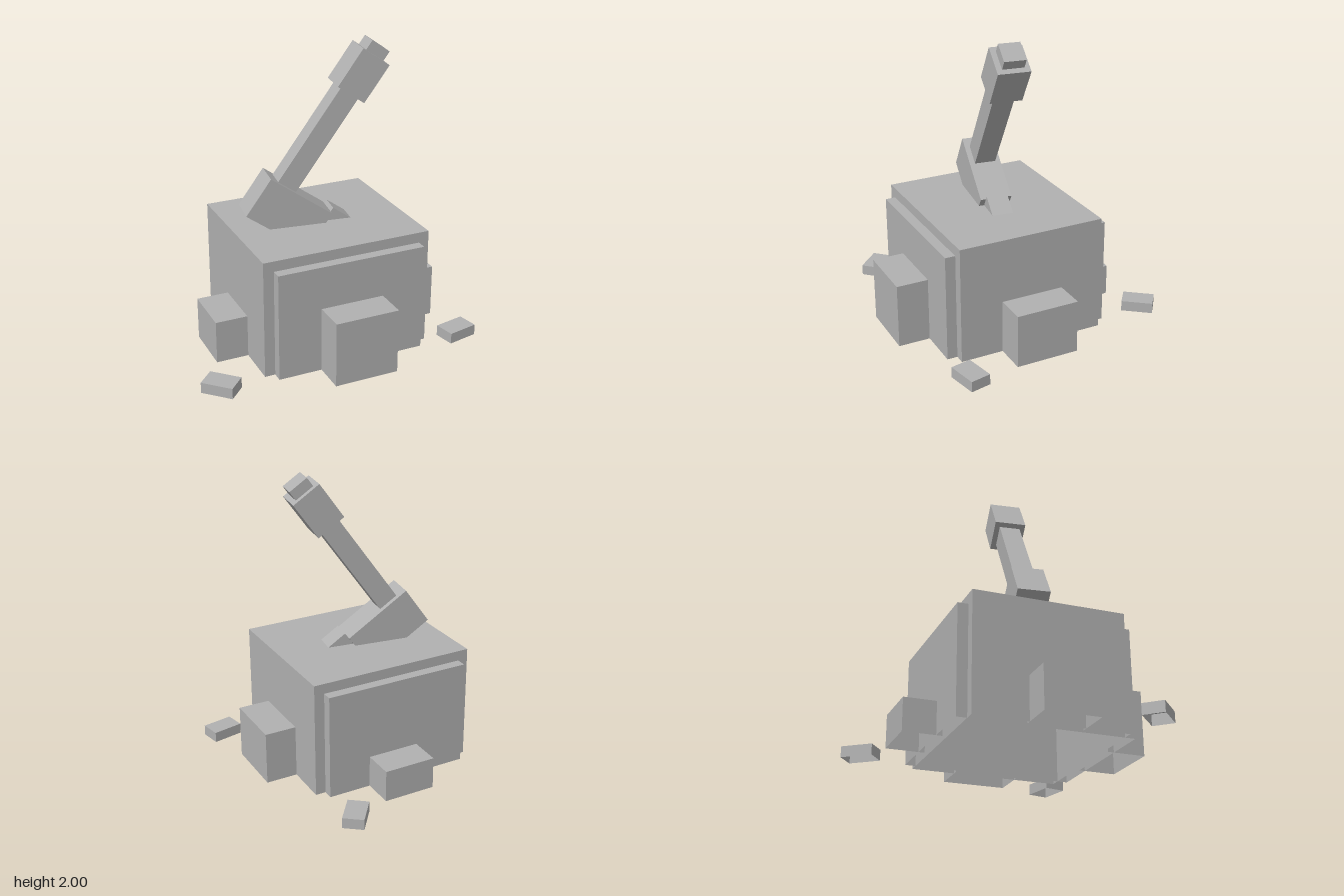
import * as THREE from 'three';

const stone = new THREE.MeshStandardMaterial({ color: 0xb0b0b0, side: THREE.DoubleSide });
stone.name = 'grey';

// Box given by its limits on each axis; openBottom leaves out the underside
function box(name, [x0, x1], [y0, y1], [z0, z1], openBottom = false) {
  const geo = new THREE.BoxGeometry(x1 - x0, y1 - y0, z1 - z0);
  if (openBottom) {
    const index = Array.from(geo.index.array);
    index.splice(18, 6);
    geo.setIndex(index);
    geo.clearGroups();
  }
  geo.translate((x0 + x1) / 2, (y0 + y1) / 2, (z0 + z1) / 2);
  const mesh = new THREE.Mesh(geo, stone);
  mesh.name = name;
  return mesh;
}

export function createModel() {
  const model = new THREE.Group();
  model.name = 'hammerInStone';

  // Boulder: two crossed hollow blocks with a smaller stone against each side
  const boulder = new THREE.Group();
  boulder.name = 'boulder';
  boulder.position.set(-0.035, 0, 0.125);
  boulder.rotation.y = 0.138;
  const inner = 0.54, outer = 0.797;
  boulder.add(
    box('boulderCore', [-0.58, 0.58], [0, 0.8], [-0.51, 0.51], true),
    box('boulderSlab', [-0.51, 0.51], [0, 0.73], [-0.58, 0.58], true),
    box('frontStone', [-0.217, 0.217], [0, 0.44], [inner, outer], true),
    box('backStone', [-0.146, 0.214], [0, 0.22], [-outer, -inner], true),
    box('leftStone', [inner, outer], [0, 0.365], [-0.217, 0.217], true),
    box('rightStone', [-outer, -inner], [0, 0.29], [-0.146, 0.217], true)
  );
  model.add(boulder);

  // Loose pebbles: x, z, turn
  [[0.326, -0.822, 1.05], [0.835, 0.56, 0.34], [-0.837, 0.78, -0.63]].forEach(([x, z, turn]) => {
    const pebble = box('pebble', [-0.107, 0.107], [0, 0.073], [-0.071, 0.071], true);
    pebble.position.set(x, 0, z);
    pebble.rotation.y = turn;
    model.add(pebble);
  });

  // Tilted hammer, half sunk into the boulder; origin at the pommel centre
  const hammer = new THREE.Group();
  hammer.name = 'hammer';
  hammer.position.set(0.256, 1.784, 0.128);
  hammer.rotation.z = -THREE.MathUtils.degToRad(35);
  const thin = [-0.072, 0.072], wide = [-0.108, 0.108];
  hammer.add(
    box('pommelCap', thin, [0.145, 0.217], thin),
    box('pommel', wide, [-0.145, 0.145], wide),
    box('handle', thin, [-0.873, -0.145], thin),
    box('head', [-0.141, 0.363], [-1.166, -0.873], wide),
    box('headKnob', [0.363, 0.58], [-0.985, -0.843], thin)
  );
  model.add(hammer);

  return model;
}
